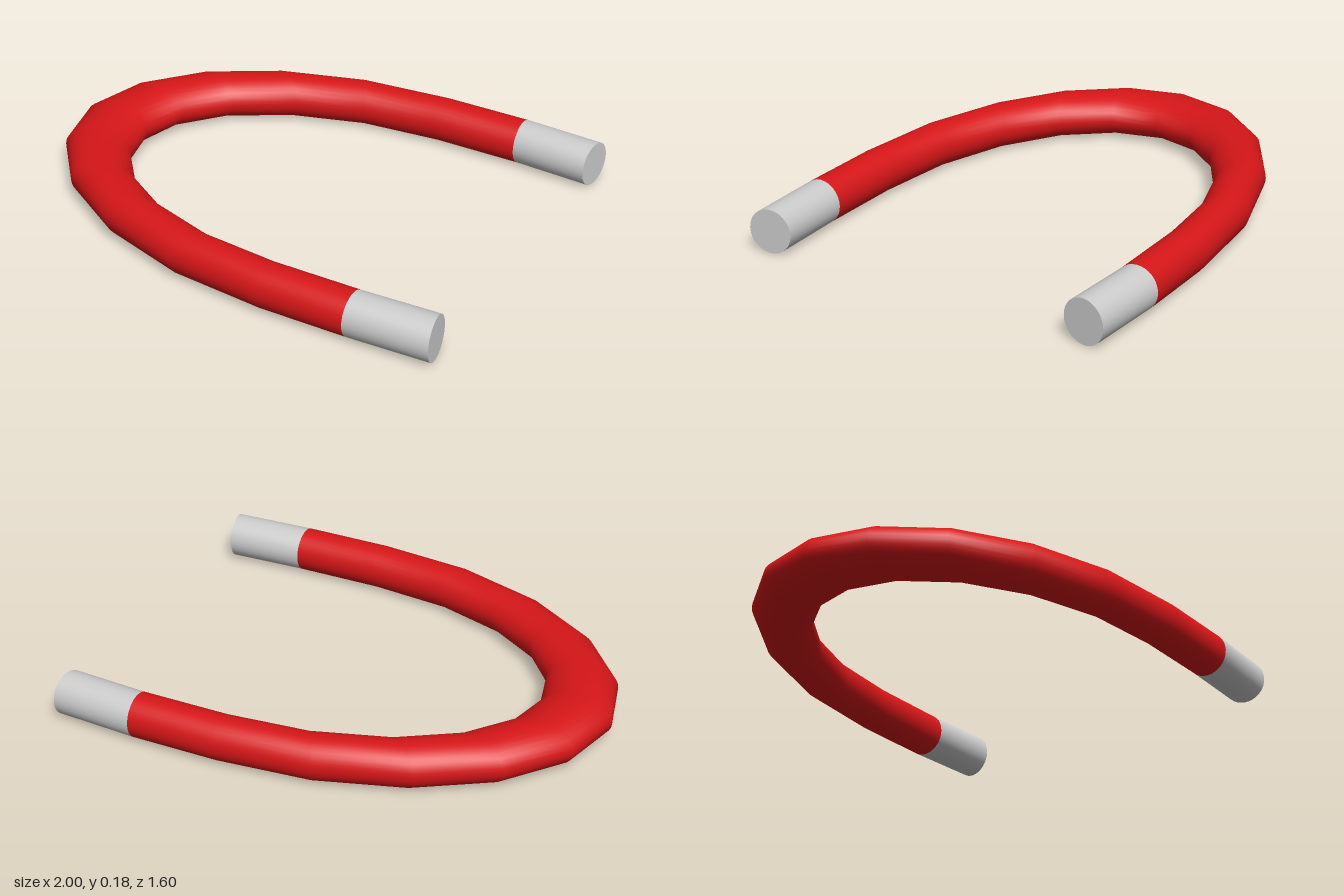
import * as THREE from 'three';

const SIDES = 32;
const HALF_HEIGHT = 0.09;

// A ring is a slanted cross-section, given by its outer and inner [x, z] edge.
const ring = (ox, oz, ix, iz) => ({ ox, oz, ix, iz });

function ringPoints(r) {
  const points = [];
  for (let j = 0; j < SIDES; j++) {
    const t = (j / SIDES) * Math.PI * 2;
    const c = Math.cos(t);
    points.push(
      (r.ox + r.ix) / 2 + ((r.ox - r.ix) / 2) * c,
      HALF_HEIGHT + HALF_HEIGHT * Math.sin(t),
      (r.oz + r.iz) / 2 + ((r.oz - r.iz) / 2) * c
    );
  }
  return points;
}

// Smooth skin through the rings, with flat caps on request.
function loft(rings, capStart, capEnd) {
  const positions = rings.flatMap(ringPoints);
  const index = [];
  for (let k = 0; k < rings.length - 1; k++) {
    for (let j = 0; j < SIDES; j++) {
      const n = (j + 1) % SIDES;
      const a = k * SIDES + j, b = k * SIDES + n;
      const c = a + SIDES, d = b + SIDES;
      index.push(a, c, b, b, c, d);
    }
  }
  const addCap = (r, flip) => {
    const base = positions.length / 3;
    positions.push(...ringPoints(r));
    for (let j = 1; j < SIDES - 1; j++) {
      if (flip) index.push(base, base + j + 1, base + j);
      else index.push(base, base + j, base + j + 1);
    }
  };
  if (capStart) addCap(rings[0], false);
  if (capEnd) addCap(rings[rings.length - 1], true);

  const geometry = new THREE.BufferGeometry();
  geometry.setAttribute('position', new THREE.Float32BufferAttribute(positions, 3));
  geometry.setIndex(index);
  geometry.computeVertexNormals();
  return geometry;
}

export function createModel() {
  const group = new THREE.Group();
  const red = new THREE.MeshStandardMaterial({ color: 0xd61618 });
  const grey = new THREE.MeshStandardMaterial({ color: 0xcccccc });

  const add = (name, geometry, material) => {
    const mesh = new THREE.Mesh(geometry, material);
    mesh.name = name;
    group.add(mesh);
  };

  // Seams where the painted body meets the bare tips
  const backSeam = ring(0.66, -0.8, 0.66, -0.623);
  const frontSeam = ring(0.66, 0.8, 0.66, 0.623);

  // Body: half an ellipse in ten steps, with a short straight leg on each side
  const body = [backSeam];
  for (let i = -5; i <= 5; i++) {
    const a = (i * Math.PI) / 10;
    const c = Math.cos(a), s = Math.sin(a);
    body.push(ring(0.3 - 1.3 * c, 0.8 * s, 0.3 - 1.005 * c, 0.623 * s));
  }
  body.push(frontSeam);
  add('horseshoeBody', loft(body, false, false), red);

  // Bare tips, bent slightly inward
  add('backTip', loft([ring(1, -0.78, 0.975, -0.604), backSeam], true, false), grey);
  add('frontTip', loft([frontSeam, ring(1, 0.786, 0.977, 0.61)], false, true), grey);

  return group;
}
